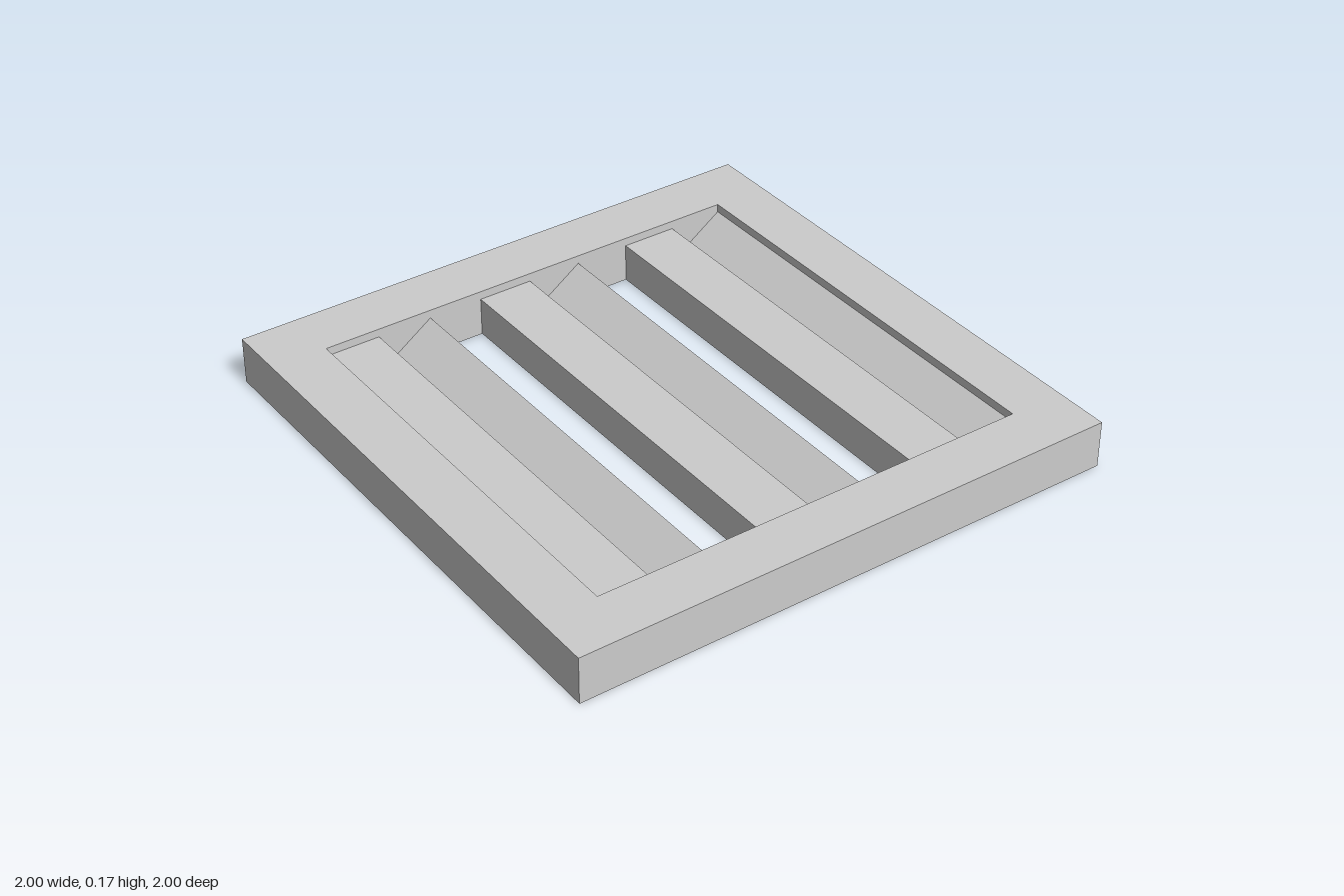
import * as THREE from 'three';

const FRAME_H = 0.17, SLAT_H = 0.14;
const HOLE_X = 0.8, HOLE_BACK = -0.79, HOLE_FRONT = 0.8;

const material = new THREE.MeshStandardMaterial({ color: 0xcccccc, flatShading: true });

// Closed shape or path from a few corners
function outline(Type, points) {
  return new Type(points.map(([x, y]) => new THREE.Vector2(x, y)));
}

function part(name, geometry) {
  const mesh = new THREE.Mesh(geometry, material);
  mesh.name = name;
  return mesh;
}

// Triangular bar running the full depth of the opening
function wedge(name, points) {
  const geometry = new THREE.ExtrudeGeometry(outline(THREE.Shape, points), {
    depth: HOLE_FRONT - HOLE_BACK, bevelEnabled: false,
  });
  geometry.translate(0, 0, HOLE_BACK);
  return part(name, geometry);
}

export function createModel() {
  const model = new THREE.Group();
  model.name = 'louvredGrate';

  // Square frame with a rectangular opening
  const shape = outline(THREE.Shape, [[-1, -1], [1, -1], [1, 1], [-1, 1]]);
  shape.holes.push(outline(THREE.Path, [
    [-HOLE_X, -HOLE_FRONT], [-HOLE_X, -HOLE_BACK], [HOLE_X, -HOLE_BACK], [HOLE_X, -HOLE_FRONT],
  ]));
  const frame = new THREE.ExtrudeGeometry(shape, { depth: FRAME_H, bevelEnabled: false });
  frame.rotateX(-Math.PI / 2);
  model.add(part('frame', frame));

  // Three louvres: an upper and a lower wedge with a slanted slot between them
  for (const x of [-0.6, 0, 0.6]) {
    const louvre = new THREE.Group();
    louvre.name = 'louvre';
    louvre.position.x = x;
    louvre.add(
      wedge('upperWedge', [[-0.2, 0], [0, SLAT_H], [-0.2, SLAT_H]]),
      wedge('lowerWedge', [[0, 0], [0.2, 0], [0.2, SLAT_H]]),
    );
    model.add(louvre);
  }
  return model;
}
